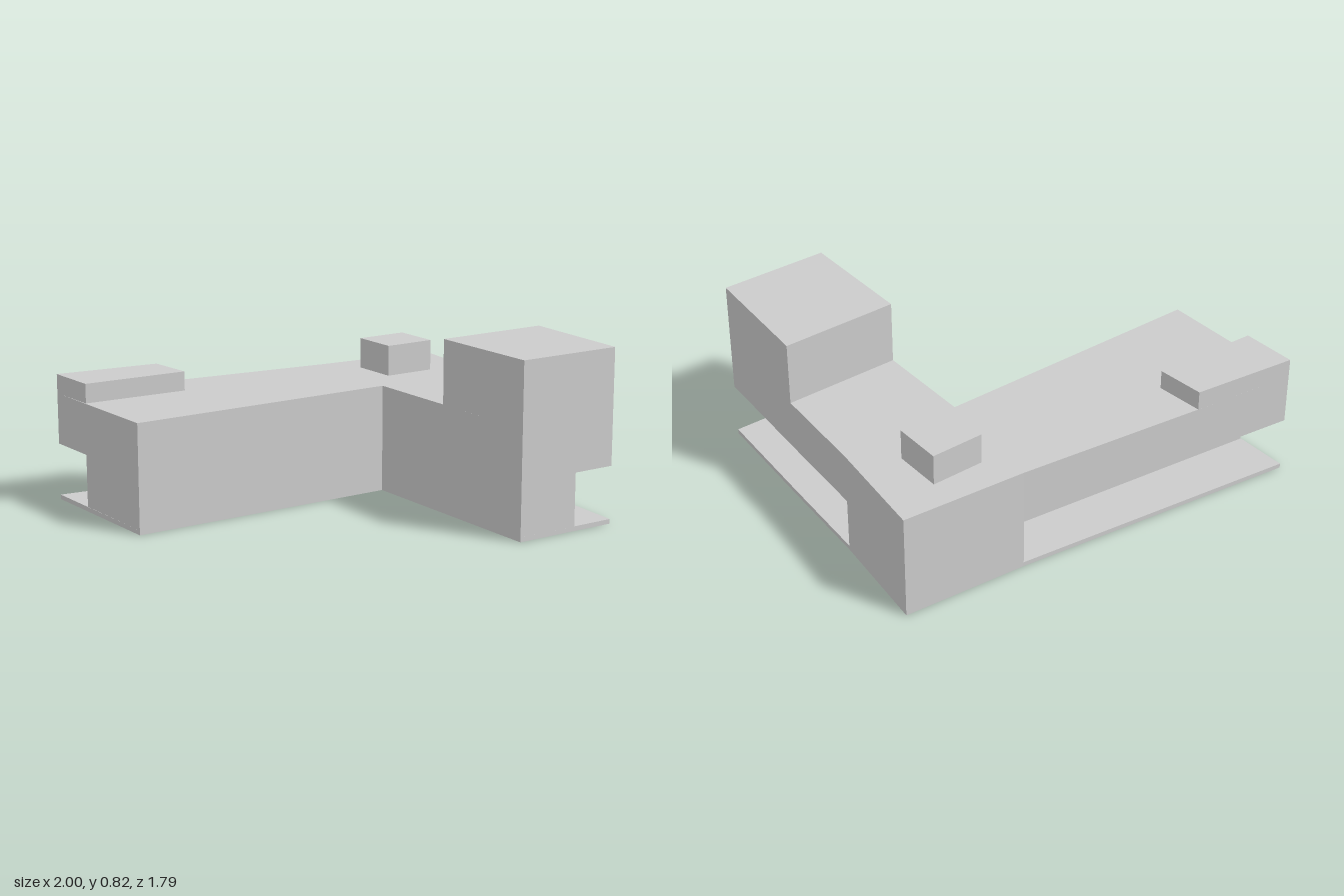
import * as THREE from 'three';

const material = new THREE.MeshStandardMaterial({ color: 0xcccccc, flatShading: true });

// Upright prism over a plan outline of [x, z] corners
function prism(name, outline, bottom, top) {
  const shape = new THREE.Shape(outline.map(([x, z]) => new THREE.Vector2(x, -z)));
  const geometry = new THREE.ExtrudeGeometry(shape, { depth: top - bottom, bevelEnabled: false });
  geometry.rotateX(-Math.PI / 2).translate(0, bottom, 0);
  const mesh = new THREE.Mesh(geometry, material);
  mesh.name = name;
  return mesh;
}

export function createModel() {
  const group = new THREE.Group();
  group.name = 'building';

  // Corners shared by several storeys
  const backRight = [-1, -0.9], backKink = [0.4, -0.73], backLeft = [1, -0.68];
  const sideKink = [0.94, -0.165], towerSide = [0.905, 0.315];
  const frontLeft = [0.86, 0.893], frontRight = [0.34, 0.887];
  const innerCorner = [0.345, -0.16], wingEnd = [-0.985, -0.165];
  const courtyard = [frontRight, innerCorner, wingEnd];

  const fullPlan = [backRight, backKink, backLeft, sideKink, towerSide, frontLeft, ...courtyard];

  // Ground storey steps in behind the back and side loggias
  const groundPlan = [
    [-0.993, -0.64], [0.42, -0.485], backKink, backLeft,
    sideKink, [0.76, -0.147], [0.65, 0.89], ...courtyard,
  ];

  group.add(
    prism('floorSlab', fullPlan, 0, 0.022),
    prism('groundStorey', groundPlan, 0.022, 0.272),
    prism('upperStorey', fullPlan, 0.272, 0.515),
    prism('tower', [[0.343, 0.315], towerSide, frontLeft, frontRight], 0.515, 0.82),
    // Rooftop volumes
    prism('roofBlock', [backRight, [-0.5, -0.839], [-0.48, -0.61], [-0.99, -0.635]], 0.515, 0.607),
    prism('roofHatch', [[0.5, -0.56], [0.755, -0.56], [0.755, -0.325], [0.5, -0.325]], 0.515, 0.663),
  );
  return group;
}
